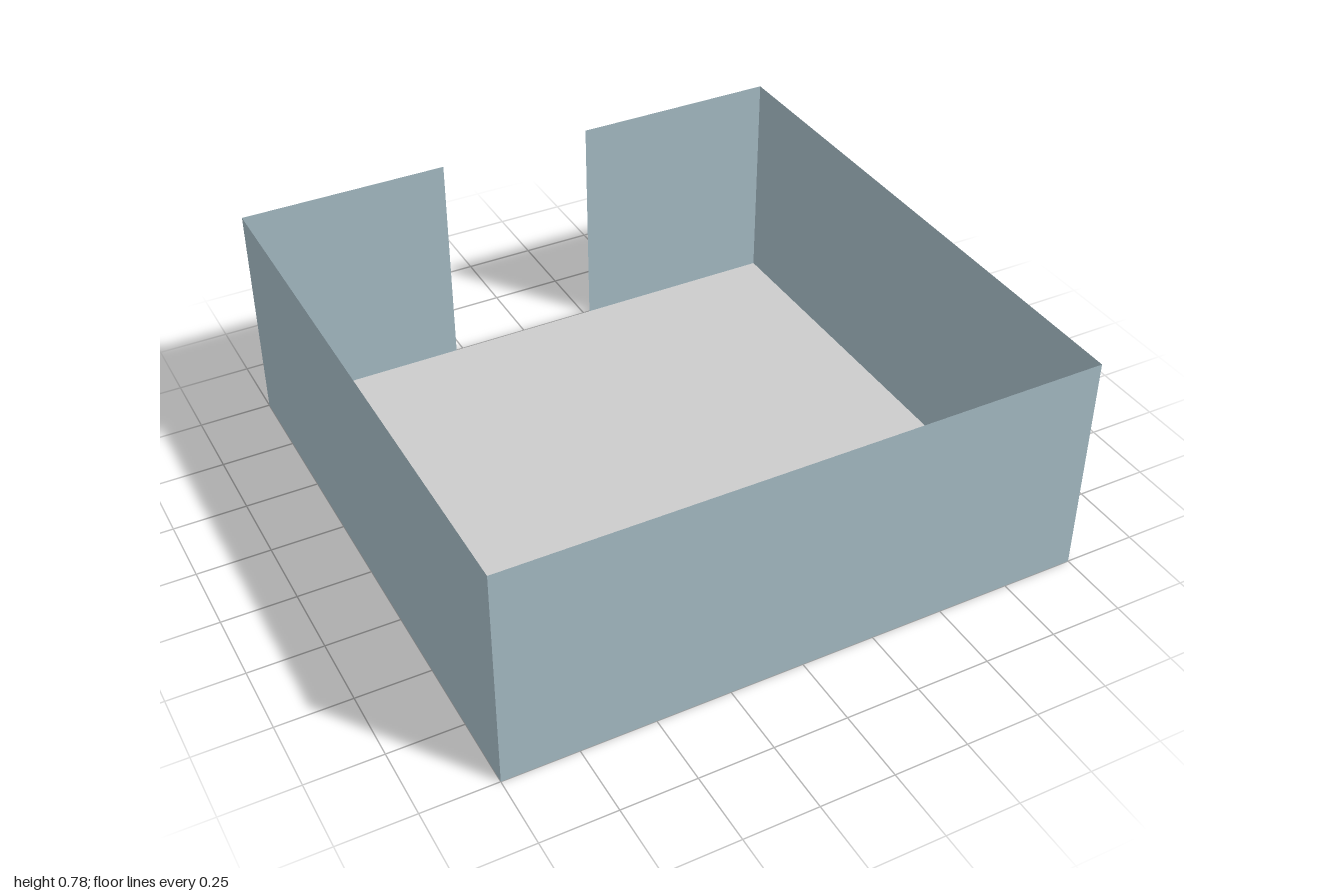
import * as THREE from 'three';

const SIZE = 2;
const HEIGHT = 0.78;
const DOORWAY = 0.55;

export function createModel() {
  const wallPaint = new THREE.MeshStandardMaterial({ name: 'blue grey wall', color: 0xa4bac3, side: THREE.DoubleSide });
  const floorPaint = new THREE.MeshStandardMaterial({ name: 'light grey floor', color: 0xcccccc, side: THREE.DoubleSide });
  const room = new THREE.Group();
  room.name = 'openRoom';

  // Upright sheet standing on the ground, turned to face the given angle
  const addWall = (name, width, x, z, angle) => {
    const wall = new THREE.Mesh(new THREE.PlaneGeometry(width, HEIGHT), wallPaint);
    wall.name = name;
    wall.position.set(x, HEIGHT / 2, z);
    wall.rotation.y = angle;
    room.add(wall);
  };

  // Floor sheet
  const floor = new THREE.Mesh(new THREE.PlaneGeometry(SIZE, SIZE), floorPaint);
  floor.name = 'floor';
  floor.rotation.x = -Math.PI / 2;
  room.add(floor);

  // Solid front wall
  addWall('frontWall', SIZE, 0, SIZE / 2, 0);

  // Side walls, and the back wall split by the central doorway
  const backWidth = (SIZE - DOORWAY) / 2;
  for (const [label, s] of [['left', 1], ['right', -1]]) {
    addWall(`${label}Wall`, SIZE, s * SIZE / 2, 0, s * Math.PI / 2);
    addWall(`${label}BackWall`, backWidth, s * (DOORWAY + backWidth) / 2, -SIZE / 2, Math.PI);
  }
  return room;
}
